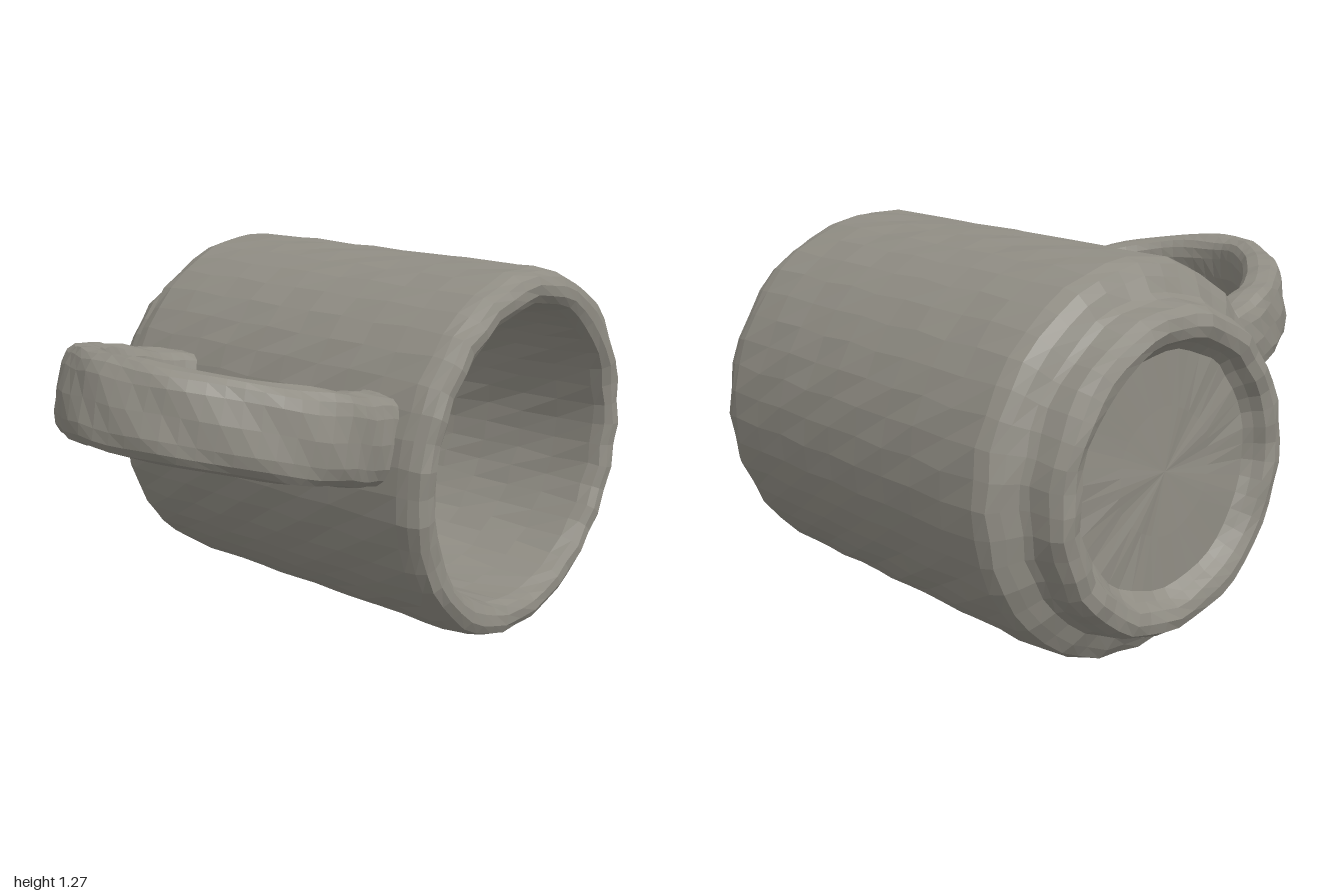
import * as THREE from 'three';

const AXIS = new THREE.Vector3(0.37, 0.642, 0); // centre line of the cup, running along z
const HANDLE_TILT = 0.25;

// Hand-formed unevenness: a small smooth wobble, identical for coincident vertices
function roughen(geo, amount) {
  const p = geo.attributes.position;
  for (let i = 0; i < p.count; i++) {
    const x = p.getX(i), y = p.getY(i), z = p.getZ(i);
    p.setXYZ(i,
      x + amount * Math.sin(31 * y + 23 * z + 5 * x),
      y + amount * Math.sin(29 * x - 27 * z + 7 * y),
      z + amount * Math.sin(25 * x + 33 * y));
  }
  geo.computeVertexNormals();
  return geo;
}

// Cup profile as [radius, z]: recessed base, foot ring, shoulder, wall, rim, hollow inside
function buildBody() {
  const outline = [
    [0, -0.71], [0.2, -0.71], [0.37, -0.71], [0.395, -0.735], [0.415, -0.768], [0.45, -0.78],
    [0.485, -0.77], [0.505, -0.735], [0.515, -0.67], [0.53, -0.645], [0.575, -0.62],
    [0.61, -0.595], [0.625, -0.55]];
  for (let k = 1; k <= 9; k++) outline.push([0.629, -0.55 + k * 0.137]);
  outline.push([0.622, 0.72], [0.608, 0.755], [0.58, 0.77], [0.545, 0.768], [0.518, 0.75], [0.508, 0.71]);
  for (let k = 1; k <= 8; k++) outline.push([0.508 - k * 0.002, 0.71 - k * 0.15]);
  outline.push([0.47, -0.54], [0.43, -0.56], [0.2, -0.56], [0, -0.56]);

  const geo = new THREE.LatheGeometry(outline.map(([r, z]) => new THREE.Vector2(r, z)), 44);
  geo.rotateX(Math.PI / 2);
  // Slight lean of the rim and the base
  const p = geo.attributes.position;
  for (let i = 0; i < p.count; i++) {
    p.setZ(i, p.getZ(i) - 0.02 * p.getX(i) + 0.01 * p.getY(i));
  }
  return roughen(geo, 0.004);
}

// Handle: a rounded-rectangle band swept along a D-shaped path
function buildHandle() {
  const path = new THREE.CatmullRomCurve3([
    [0.57, -0.33], [0.7, -0.325], [0.9, -0.305], [1.1, -0.22], [1.25, -0.07], [1.31, 0.1],
    [1.25, 0.33], [1.1, 0.51], [0.88, 0.6], [0.7, 0.58], [0.57, 0.55],
  ].map(([u, z]) => new THREE.Vector3(-u, 0, z)));
  const steps = 40, sides = 16;
  const pos = [], index = [];
  const soft = (v) => Math.sign(v) * Math.pow(Math.abs(v), 0.65);
  for (let i = 0; i <= steps; i++) {
    const s = i / steps;
    const c = path.getPointAt(s), t = path.getTangentAt(s);
    const ends = Math.pow(Math.abs(2 * s - 1), 12);
    const thick = 0.092 - 0.022 * Math.sin(Math.PI * s) + 0.035 * ends;
    const wide = 0.142 + 0.012 * ends;
    for (let j = 0; j < sides; j++) {
      const a = (j / sides) * Math.PI * 2;
      const n = thick * soft(Math.cos(a));
      pos.push(c.x + t.z * n, wide * soft(Math.sin(a)), c.z - t.x * n);
    }
  }
  for (let i = 0; i < steps; i++) {
    for (let j = 0; j < sides; j++) {
      const k = (j + 1) % sides;
      const a = i * sides + j, b = i * sides + k;
      index.push(a, b, b + sides, a, b + sides, a + sides);
    }
  }
  const geo = new THREE.BufferGeometry();
  geo.setAttribute('position', new THREE.Float32BufferAttribute(pos, 3));
  geo.setIndex(index);
  return roughen(geo, 0.004);
}

export function createModel() {
  const clay = new THREE.MeshStandardMaterial({ color: 0x908d84, flatShading: true });
  clay.name = 'grey clay';

  const mug = new THREE.Group();
  mug.name = 'mug';

  const body = new THREE.Mesh(buildBody(), clay);
  body.name = 'cupBody';
  body.position.copy(AXIS);

  const handle = new THREE.Mesh(buildHandle(), clay);
  handle.name = 'handle';
  handle.position.copy(AXIS);
  handle.rotation.z = -HANDLE_TILT;

  mug.add(body, handle);
  // Rest the cup on the ground
  mug.position.y = -new THREE.Box3().setFromObject(mug, true).min.y;
  return mug;
}
